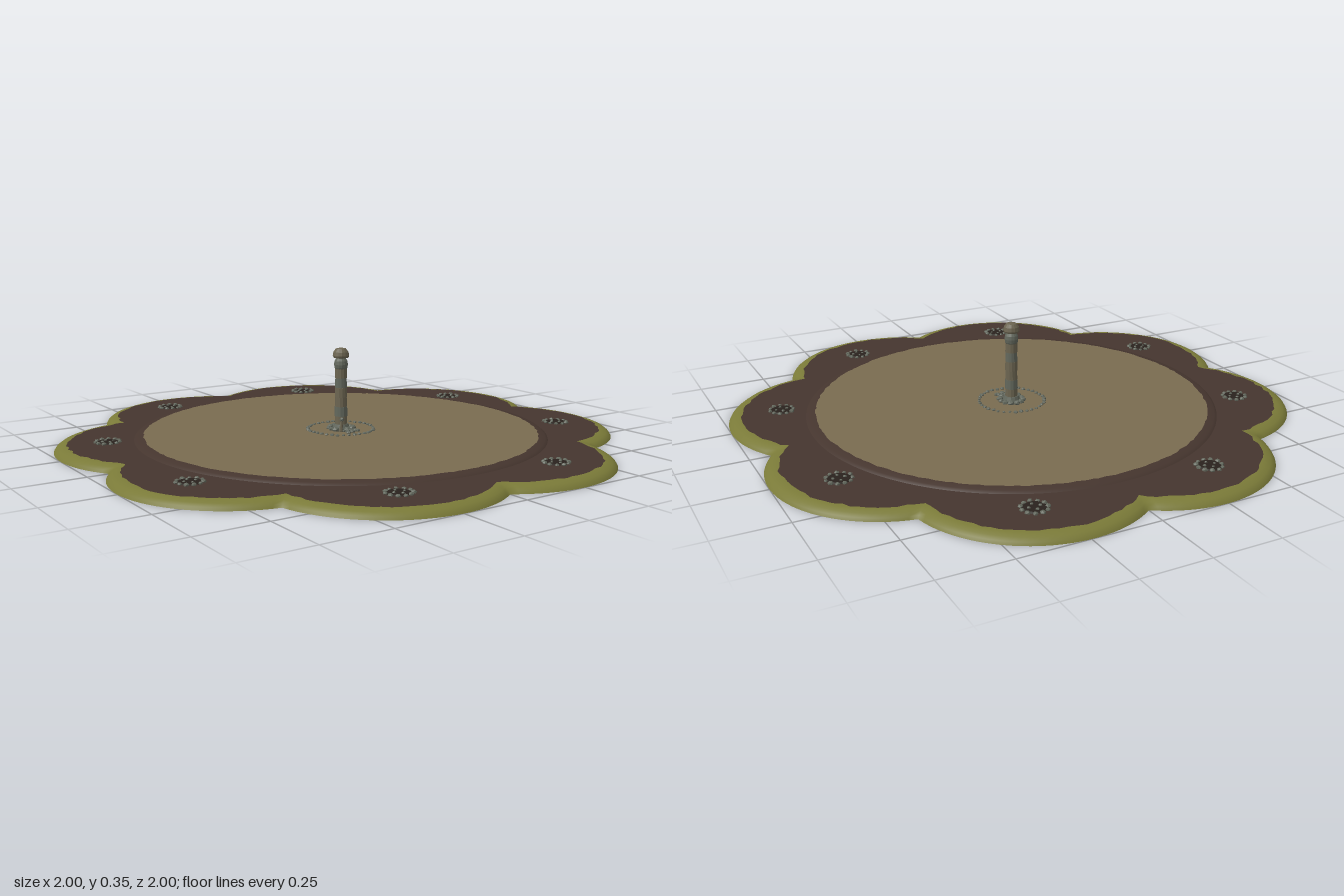
import * as THREE from 'three';
import { mergeGeometries } from 'three/addons/utils/BufferGeometryUtils.js';

const PETALS = 8, STEPS = 28;
const CENTRE = 0.627, RADIUS = 0.421;   // petal circle distance and radius
const PLATE_Y = 0.026, DISC_Y = 0.038;

const mat = (name, color, flat = false) => {
  const m = new THREE.MeshStandardMaterial({ color, side: THREE.DoubleSide, flatShading: flat });
  m.name = name;
  return m;
};

let seed = 7;
const rand = () => (seed = (seed * 16807) % 2147483647) / 2147483647;

// Scalloped outline, moved inward by inset, with optional ragged noise
function scallop(inset, y, noise = 0) {
  const pts = [], half = Math.PI / PETALS, r = RADIUS - inset;
  const cusp = CENTRE * Math.cos(half) + Math.sqrt(r * r - (CENTRE * Math.sin(half)) ** 2);
  const sweep = Math.atan2(cusp * Math.sin(half), cusp * Math.cos(half) - CENTRE);
  for (let p = 0; p < PETALS; p++) {
    const dir = half + p * 2 * half;
    for (let i = 0; i < STEPS; i++) {
      const a = dir + sweep * (2 * i / STEPS - 1), q = r + (rand() - 0.5) * noise;
      pts.push([CENTRE * Math.cos(dir) + q * Math.cos(a), y, CENTRE * Math.sin(dir) + q * Math.sin(a)]);
    }
  }
  return pts;
}

// Circle with the same number of points, lined up with the outline
function circleLoop(radius, y, guide, noise = 0) {
  return guide.map(([x, , z]) => {
    const a = Math.atan2(z, x), q = radius + (rand() - 0.5) * noise;
    return [q * Math.cos(a), y, q * Math.sin(a)];
  });
}

// Skin through closed loops running from outside to inside
function loft(loops) {
  const n = loops[0].length, index = [];
  for (let k = 0; k < loops.length - 1; k++) {
    for (let i = 0; i < n; i++) {
      const a = k * n + i, b = k * n + (i + 1) % n, c = a + n, d = b + n;
      index.push(a, c, b, b, c, d);
    }
  }
  const g = new THREE.BufferGeometry();
  g.setAttribute('position', new THREE.Float32BufferAttribute(loops.flat(2), 3));
  g.setIndex(index);
  g.computeVertexNormals();
  return g;
}

function stone(x, y, z, s, flat = 0.8) {
  return new THREE.IcosahedronGeometry(s, 0)
    .rotateY(rand() * 6).rotateX(rand() * 6).scale(1, flat, 1).translate(x, y, z);
}

function stoneRing(n, radius, size, x, y, z) {
  return Array.from({ length: n }, (_, i) => {
    const a = i / n * Math.PI * 2, r = radius * (0.97 + rand() * 0.06);
    return stone(x + r * Math.cos(a), y, z + r * Math.sin(a), size * (0.8 + rand() * 0.4));
  });
}

export function createModel() {
  const group = new THREE.Group();
  const grass = mat('grass green', 0x7a7a38);
  const soil = mat('brown soil', 0x45352e);
  const darkSoil = mat('dark soil', 0x29221d);
  const sand = mat('sand', 0x796b50);
  const rock = mat('grey stone', 0x62675c, true);
  const pillarStone = mat('pillar stone', 0x6b6450, true);

  const add = (name, geometry, material, parent = group) => {
    const m = new THREE.Mesh(geometry, material);
    m.name = name;
    parent.add(m);
    return m;
  };

  // Petal ground: rounded grass rim, ragged edge, then soil
  const edge = scallop(0.048, PLATE_Y, 0.012);
  add('grassRim', loft([
    scallop(0, 0, 0), scallop(0.006, 0.010), scallop(0.018, 0.019), scallop(0.036, 0.025), edge,
  ]), grass);
  const soilInner = circleLoop(0.765, PLATE_Y, edge);
  add('petalSoil', loft([edge, soilInner]), soil);

  // Raised central disc with a bevelled soil step
  const discEdge = circleLoop(0.73, DISC_Y, edge, 0.006);
  add('discStep', loft([soilInner, circleLoop(0.755, 0.034, edge), discEdge]), soil);
  add('sandDisc', loft([discEdge, circleLoop(0.001, DISC_Y, edge)]), sand);

  // One stone-edged planting bed on each petal
  for (let p = 0; p < PETALS; p++) {
    const a = (p + 0.5) * Math.PI * 2 / PETALS;
    const x = 0.858 * Math.cos(a), z = 0.858 * Math.sin(a);
    const bed = new THREE.Group();
    bed.name = 'plantingBed';
    group.add(bed);
    add('bedSoil', new THREE.CylinderGeometry(0.036, 0.042, 0.004, 16).translate(x, PLATE_Y + 0.002, z), darkSoil, bed);
    add('bedStones', mergeGeometries([
      ...stoneRing(11, 0.043, 0.009, x, PLATE_Y + 0.002, z),
      ...stoneRing(4, 0.02, 0.006, x, PLATE_Y + 0.004, z),
    ]), rock, bed);
  }

  // Circle of small stones and rubble around the pillar
  add('stoneCircle', mergeGeometries(stoneRing(36, 0.123, 0.008, 0, DISC_Y + 0.001, 0)), rock);
  const rubble = stoneRing(12, 0.043, 0.013, 0, DISC_Y + 0.004, 0);
  for (let i = 0; i < 9; i++) {
    rubble.push(stone(-0.03 + rand() * 0.075, DISC_Y + 0.003, 0.05 + rand() * 0.04, 0.006 + rand() * 0.005));
  }
  add('rubble', mergeGeometries(rubble), rock);

  // Small leaning marker in front of the pillar
  const marker = new THREE.Group();
  marker.name = 'marker';
  marker.position.set(-0.032, DISC_Y, 0.045);
  marker.rotation.z = -0.12;
  group.add(marker);
  add('markerPost', new THREE.CylinderGeometry(0.005, 0.007, 0.045, 7).translate(0, 0.02, 0), pillarStone, marker);
  add('markerTop', new THREE.IcosahedronGeometry(0.009, 0).translate(0, 0.046, 0), rock, marker);

  // Pillar of stacked, slightly uneven drums
  const pillar = new THREE.Group();
  pillar.name = 'pillar';
  group.add(pillar);
  add('pillarFoot', new THREE.CylinderGeometry(0.027, 0.034, 0.02, 12).translate(0, DISC_Y + 0.01, 0), rock, pillar);
  const drums = 6, drumH = 0.216 / drums;
  for (let i = 0; i < drums; i++) {
    const r = 0.0235 - i * 0.0003 + (i % 2) * 0.0012;
    const g = new THREE.CylinderGeometry(r - 0.001, r, drumH, 12).rotateY(i * 0.4);
    add('pillarDrum', g.translate(0, 0.052 + (i + 0.5) * drumH, 0), i % 3 === 1 ? rock : pillarStone, pillar);
  }

  // Rounded neck and domed cap
  const lathe = pts => new THREE.LatheGeometry(pts.map(p => new THREE.Vector2(...p)), 14);
  add('pillarNeck', lathe([[0.019, 0.262], [0.024, 0.27], [0.026, 0.283], [0.024, 0.296], [0.018, 0.306], [0.018, 0.314]]), rock, pillar);
  add('pillarCap', lathe([[0, 0.309], [0.028, 0.309], [0.031, 0.316], [0.028, 0.33], [0.019, 0.342], [0, 0.346]]), pillarStone, pillar);

  return group;
}
